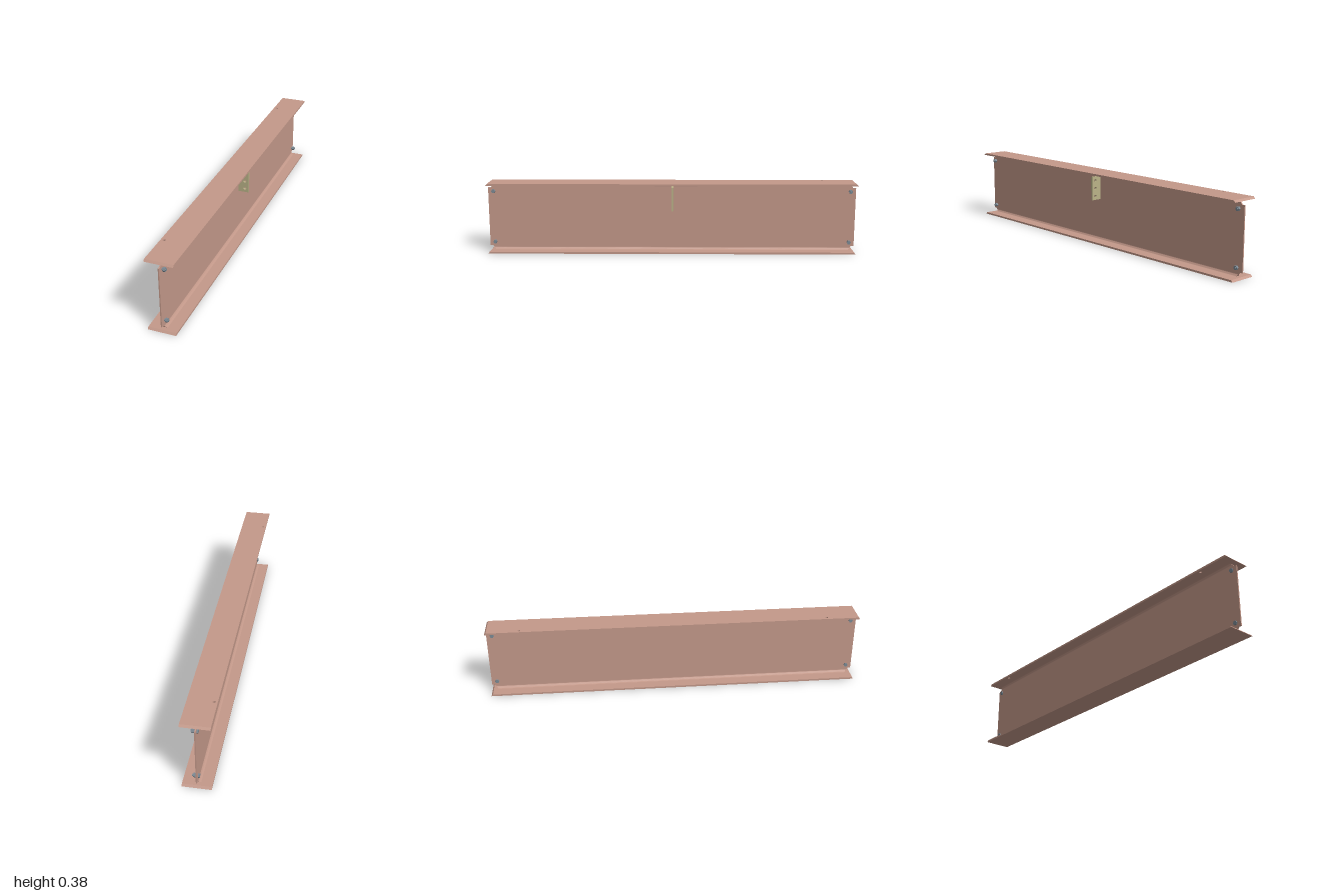
import * as THREE from 'three';
import { toCreasedNormals } from 'three/addons/utils/BufferGeometryUtils.js';

const HALF_W = 0.072, HEIGHT = 0.385, FLANGE = 0.01, WEB = 0.003, FILLET = 0.013;
const steel = new THREE.MeshStandardMaterial({ color: 0xc4998a });
const plateMat = new THREE.MeshStandardMaterial({ color: 0xbab388 });
const boltMat = new THREE.MeshStandardMaterial({ color: 0x7c8a94 });

function add(parent, name, geometry, material) {
  const mesh = new THREE.Mesh(geometry, material);
  mesh.name = name;
  parent.add(mesh);
  return mesh;
}

function extrude(shape, depth) {
  return new THREE.ExtrudeGeometry(shape, { depth, bevelEnabled: false, curveSegments: 10 });
}

// Move every vertex by a rule, then rebuild normals with sharp edges
function reshape(geometry, rule) {
  const p = geometry.attributes.position;
  const v = new THREE.Vector3();
  for (let i = 0; i < p.count; i++) {
    rule(v.fromBufferAttribute(p, i));
    p.setXYZ(i, v.x, v.y, v.z);
  }
  return toCreasedNormals(geometry, 0.6);
}

// Flat flange whose ends are bevelled to face upward
function flangeGeometry(holes) {
  const shape = new THREE.Shape([
    new THREE.Vector2(-HALF_W, -1), new THREE.Vector2(HALF_W, -1),
    new THREE.Vector2(HALF_W, 1), new THREE.Vector2(-HALF_W, 1),
  ]);
  for (const [x, z] of holes) {
    shape.holes.push(new THREE.Path().absarc(x, z, 0.007, 0, Math.PI * 2, true));
  }
  const g = extrude(shape, FLANGE).rotateX(Math.PI / 2).translate(0, FLANGE, 0);
  return reshape(g, (v) => {
    if (v.y > FLANGE / 2 && Math.abs(v.z) > 0.99) v.z = Math.sign(v.z) * 0.991;
  });
}

// Web side outline with access notches at the four corners
function webGeometry() {
  const mid = HEIGHT / 2;
  const corner = [[0.968, mid - FLANGE], [0.985, mid - 0.031], [1, mid - 0.031]];
  const back = [...corner].reverse();
  const pts = [
    ...corner.map(([z, y]) => [z, -y]), ...back,
    ...corner.map(([z, y]) => [-z, y]), ...back.map(([z, y]) => [-z, -y]),
  ].map(([z, y]) => new THREE.Vector2(z, y + mid));
  return extrude(new THREE.Shape(pts), WEB * 2).rotateY(-Math.PI / 2).translate(WEB, 0, 0);
}

// Concave root fillet along both sides of the web, ends sloped with the notch
function filletGeometry() {
  const s = new THREE.Shape();
  s.moveTo(-WEB - FILLET, 0);
  s.absarc(-WEB - FILLET, FILLET, FILLET, -Math.PI / 2, 0, false);
  s.lineTo(WEB, FILLET);
  s.absarc(WEB + FILLET, FILLET, FILLET, Math.PI, Math.PI * 1.5, false);
  const g = extrude(s, 2).translate(0, 0, -1);
  return reshape(g, (v) => { v.z = Math.sign(v.z) * (0.968 + v.y * 0.81); });
}

// Connection plate with three horizontal slots
function plateGeometry() {
  const x0 = WEB, x1 = 0.06, y0 = 0.235, y1 = 0.363;
  const s = new THREE.Shape([
    new THREE.Vector2(x0, y0), new THREE.Vector2(x1, y0),
    new THREE.Vector2(x1, y1), new THREE.Vector2(x0, y1),
  ]);
  for (const y of [0.256, 0.299, 0.342]) {
    const slot = new THREE.Path();
    slot.absarc(0.0405, y, 0.0065, -Math.PI / 2, Math.PI / 2, false);
    slot.absarc(0.0365, y, 0.0065, Math.PI / 2, Math.PI * 1.5, false);
    slot.closePath();
    s.holes.push(slot);
  }
  return extrude(s, 0.01).translate(0, 0, -0.009);
}

// Cylinder along x, from x0 to x1
function rod(radius, x0, x1, sides) {
  return new THREE.CylinderGeometry(radius, radius, x1 - x0, sides)
    .rotateZ(Math.PI / 2).translate((x0 + x1) / 2, 0, 0);
}

function makeBolt() {
  const bolt = new THREE.Group();
  bolt.name = 'bolt';
  const hex = (x0, x1) => toCreasedNormals(rod(0.011, x0, x1, 6), 0.3);
  add(bolt, 'boltHead', hex(-0.011, -WEB), boltMat);
  add(bolt, 'boltShank', rod(0.0058, -0.005, 0.025, 20), boltMat);
  add(bolt, 'boltNut', hex(0.008, 0.0205), boltMat);
  return bolt;
}

export function createModel() {
  const model = new THREE.Group();
  model.name = 'steelBeam';

  // Rolled I-section
  add(model, 'bottomFlange', flangeGeometry([]), steel);
  add(model, 'topFlange', flangeGeometry([[-0.055, -0.82], [-0.055, 0.82]]), steel)
    .position.y = HEIGHT - FLANGE;
  add(model, 'web', webGeometry(), steel);
  add(model, 'bottomFillet', filletGeometry(), steel).position.y = FLANGE;
  const topFillet = add(model, 'topFillet', filletGeometry(), steel);
  topFillet.rotation.z = Math.PI;
  topFillet.position.y = HEIGHT - FLANGE;

  // Mid-span shear tab
  add(model, 'connectionPlate', plateGeometry(), plateMat);

  // Erection bolts at both ends of the web
  for (const z of [-0.97, 0.97]) {
    for (const y of [0.054, 0.335]) {
      const bolt = makeBolt();
      bolt.position.set(0, y, z);
      model.add(bolt);
    }
  }
  return model;
}
